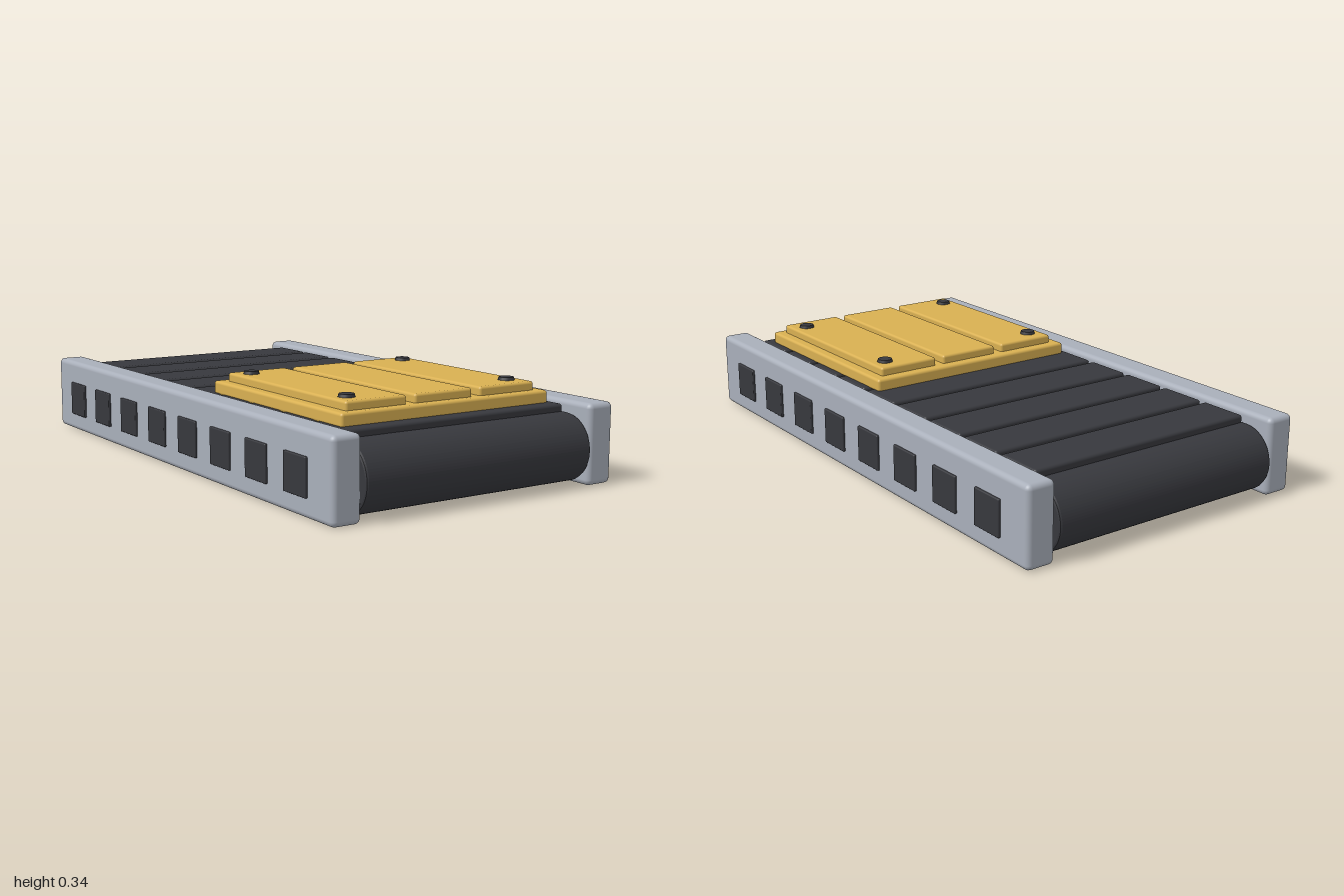
import * as THREE from 'three';
import { RoundedBoxGeometry } from 'three/addons/geometries/RoundedBoxGeometry.js';

function material(name, color) {
  const m = new THREE.MeshStandardMaterial({ color });
  m.name = name;
  return m;
}

export function createModel() {
  const model = new THREE.Group();
  model.name = 'conveyor';
  const rubber = material('dark rubber', 0x37383d);
  const steel = material('grey steel', 0xa9afba);
  const yellow = material('yellow panel', 0xd9b052);

  function add(name, geometry, mat, x, y, z) {
    const mesh = new THREE.Mesh(geometry, mat);
    mesh.name = name;
    mesh.position.set(x, y, z);
    model.add(mesh);
    return mesh;
  }
  const box = (w, h, d, r) => new RoundedBoxGeometry(w, h, d, 3, r);

  // Belt loop: a stadium profile drawn in z and y, extruded across x
  const r = 0.113, end = 1 - r, width = 0.88, bevel = 0.008;
  const profile = new THREE.Shape();
  profile.absarc(end, 0, r - bevel, -Math.PI / 2, Math.PI / 2, false);
  profile.absarc(-end, 0, r - bevel, Math.PI / 2, Math.PI * 1.5, false);
  const belt = new THREE.ExtrudeGeometry(profile, {
    depth: width - 2 * bevel, curveSegments: 20,
    bevelThickness: bevel, bevelSize: bevel, bevelSegments: 2,
  });
  belt.translate(0, 0, -width / 2 + bevel).rotateY(Math.PI / 2);
  add('belt', belt, rubber, 0, 0.123, 0);

  // Raised slats along the top of the belt
  const slat = box(0.87, 0.05, 0.174, 0.01);
  for (let i = 0; i < 9; i++) add('slat', slat, rubber, 0, 0.236, (i - 4) * 0.196);

  // Side rails with a row of dark plates on the outside
  const rail = box(0.103, 0.27, 1.97, 0.018);
  const plate = box(0.018, 0.125, 0.125, 0.004);
  for (const side of [-1, 1]) {
    add('rail', rail, steel, side * 0.497, 0.139, 0);
    for (let i = 0; i < 8; i++) {
      add('railPlate', plate, rubber, side * 0.548, 0.13, (i - 3.5) * 0.226);
    }
  }

  // Panel with three planks
  add('panelBase', box(0.82, 0.046, 0.78, 0.01), yellow, 0, 0.279, 0.435);
  const plank = box(0.228, 0.04, 0.715, 0.009);
  for (const x of [-0.26, 0, 0.26]) add('plank', plank, yellow, x, 0.311, 0.4375);

  // Bolts at the panel corners
  const bolt = new THREE.CylinderGeometry(0.025, 0.029, 0.014, 16);
  for (const x of [-0.32, 0.32]) {
    for (const z of [0.147, 0.72]) add('bolt', bolt, rubber, x, 0.334, z);
  }
  return model;
}
